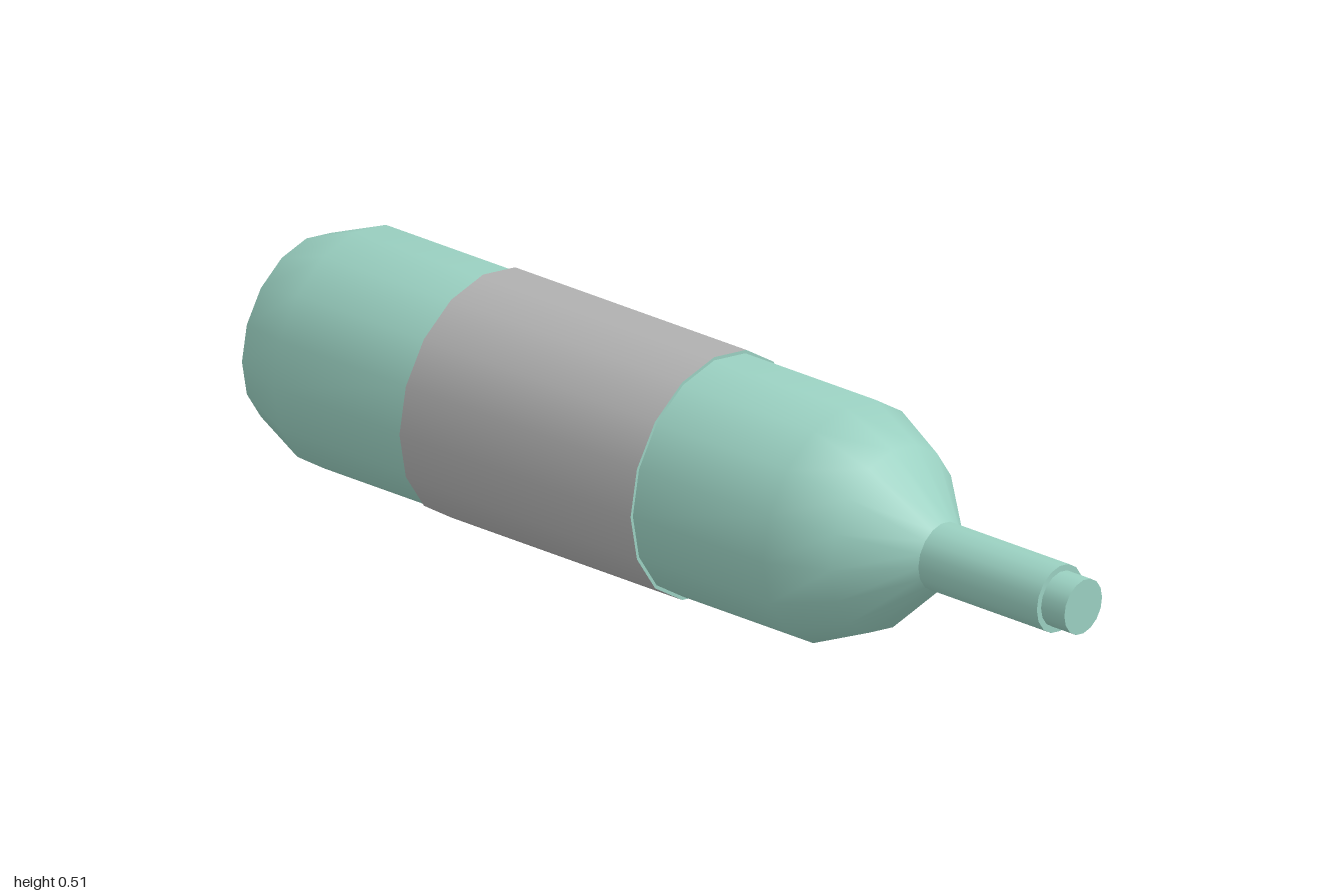
import * as THREE from 'three';

const SIDES = 16;

export function createModel() {
  const glass = new THREE.MeshStandardMaterial({ color: 0x9ad0c1 });
  glass.name = 'mint glass';
  const paper = new THREE.MeshStandardMaterial({ color: 0xb0b0b0 });
  paper.name = 'grey label';

  const bottle = new THREE.Group();
  bottle.name = 'bottle';
  bottle.position.y = 0.258;

  // Each profile is a list of [x, radius] turned about the x axis
  const turn = (name, profile, material) => {
    const points = profile.map(([x, r]) => new THREE.Vector2(r, x));
    const geometry = new THREE.LatheGeometry(points, SIDES);
    geometry.rotateZ(-Math.PI / 2);
    const mesh = new THREE.Mesh(geometry, material);
    mesh.name = name;
    bottle.add(mesh);
  };

  // Base and rear body
  turn('base', [[-1, 0], [-1, 0.198]], glass);
  turn('rearBody', [[-1, 0.198], [-0.875, 0.25], [-0.545, 0.25]], glass);

  // Raised label band with mint end rings
  turn('rearBandRing', [[-0.545, 0.25], [-0.545, 0.257]], glass);
  turn('label', [[-0.545, 0.257], [0.05, 0.257]], paper);
  turn('frontBandRing', [[0.05, 0.257], [0.05, 0.25]], glass);

  // Front body and tapering shoulder
  turn('frontBodyAndShoulder', [[0.05, 0.25], [0.385, 0.25], [0.51, 0.193], [0.635, 0.071]], glass);

  // Neck and mouth
  turn('neck', [[0.635, 0.071], [0.94, 0.071]], glass);
  turn('neckRing', [[0.94, 0.071], [0.94, 0.058]], glass);
  turn('mouth', [[0.94, 0.058], [1, 0.058]], glass);
  turn('mouthEnd', [[1, 0.058], [1, 0]], glass);

  const model = new THREE.Group();
  model.name = 'lyingBottle';
  model.add(bottle);
  return model;
}
